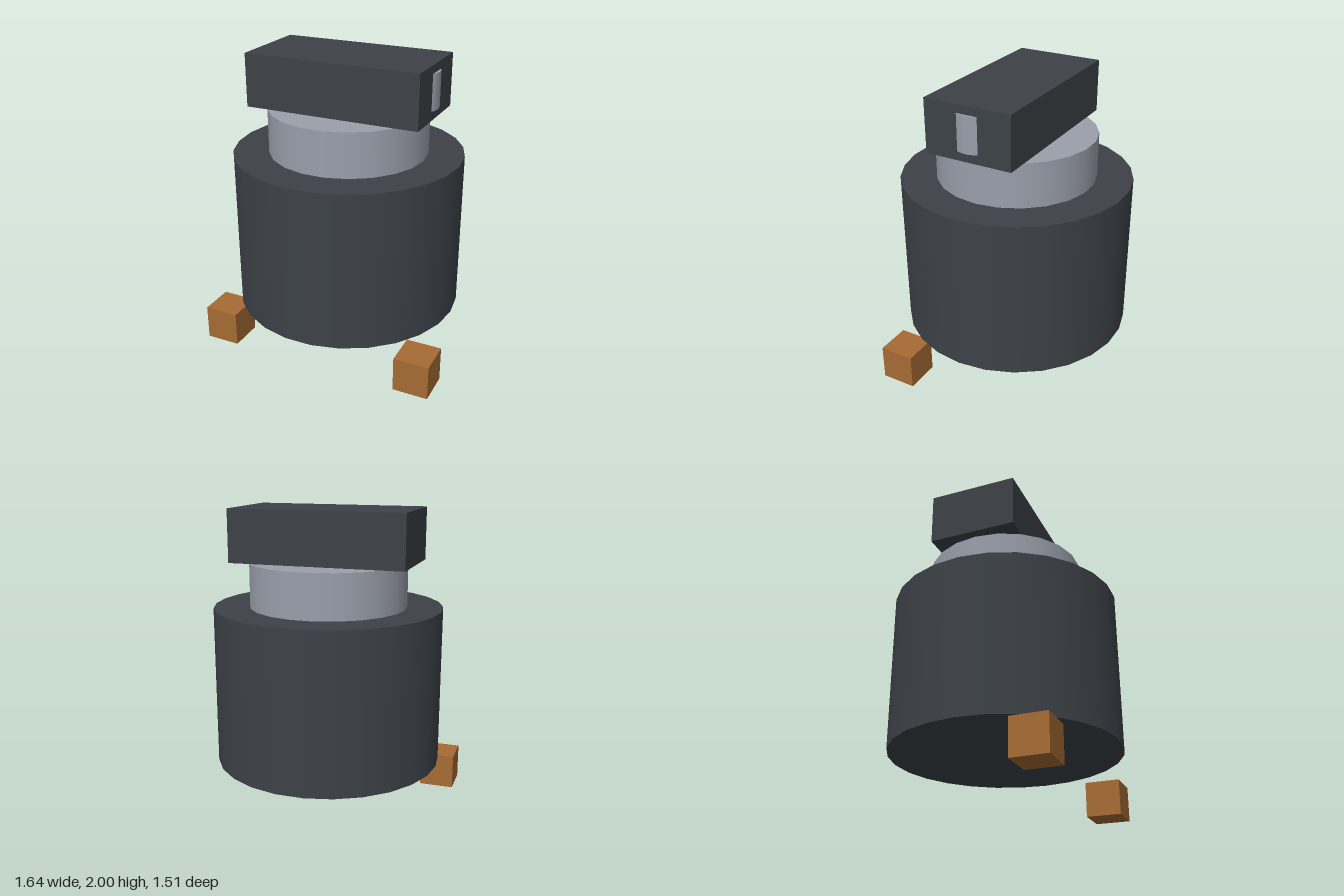
import * as THREE from 'three';

const material = (name, color) => {
  const m = new THREE.MeshStandardMaterial({ color });
  m.name = name;
  return m;
};

export function createModel() {
  const model = new THREE.Group();
  model.name = 'model';
  const charcoal = material('charcoal', 0x3d4248);
  const steel = material('steel grey', 0x9a9fab);
  const copper = material('copper brown', 0xa66b34);

  const add = (name, geometry, mat, x, y, z) => {
    const mesh = new THREE.Mesh(geometry, mat);
    mesh.name = name;
    mesh.position.set(x, y, z);
    model.add(mesh);
  };

  // Upright drum between two heights, with a corner pointing to +x
  const drum = (name, radius, y0, y1, sides, mat, x = 0) => {
    const geometry = new THREE.CylinderGeometry(radius, radius, y1 - y0, sides);
    geometry.rotateY(Math.PI / 2);
    add(name, geometry, mat, x, (y0 + y1) / 2, 0);
  };

  // Main body and the narrower neck on it
  drum('body', 0.763, 0.298, 1.355, 26, charcoal);
  drum('neck', 0.527, 1.355, 1.65, 22, steel);

  // Head block with a round pin showing through its left end
  add('head', new THREE.BoxGeometry(1.176, 0.35, 0.586), charcoal, 0, 1.825, 0);
  drum('sidePin', 0.15, 1.71, 1.945, 16, steel, 0.458);

  // Two loose cube feet near the front
  for (const [name, side] of [['leftFoot', 1], ['rightFoot', -1]]) {
    add(name, new THREE.BoxGeometry(0.235, 0.235, 0.235), copper, side * 0.705, 0.1175, 0.469);
  }

  return model;
}
